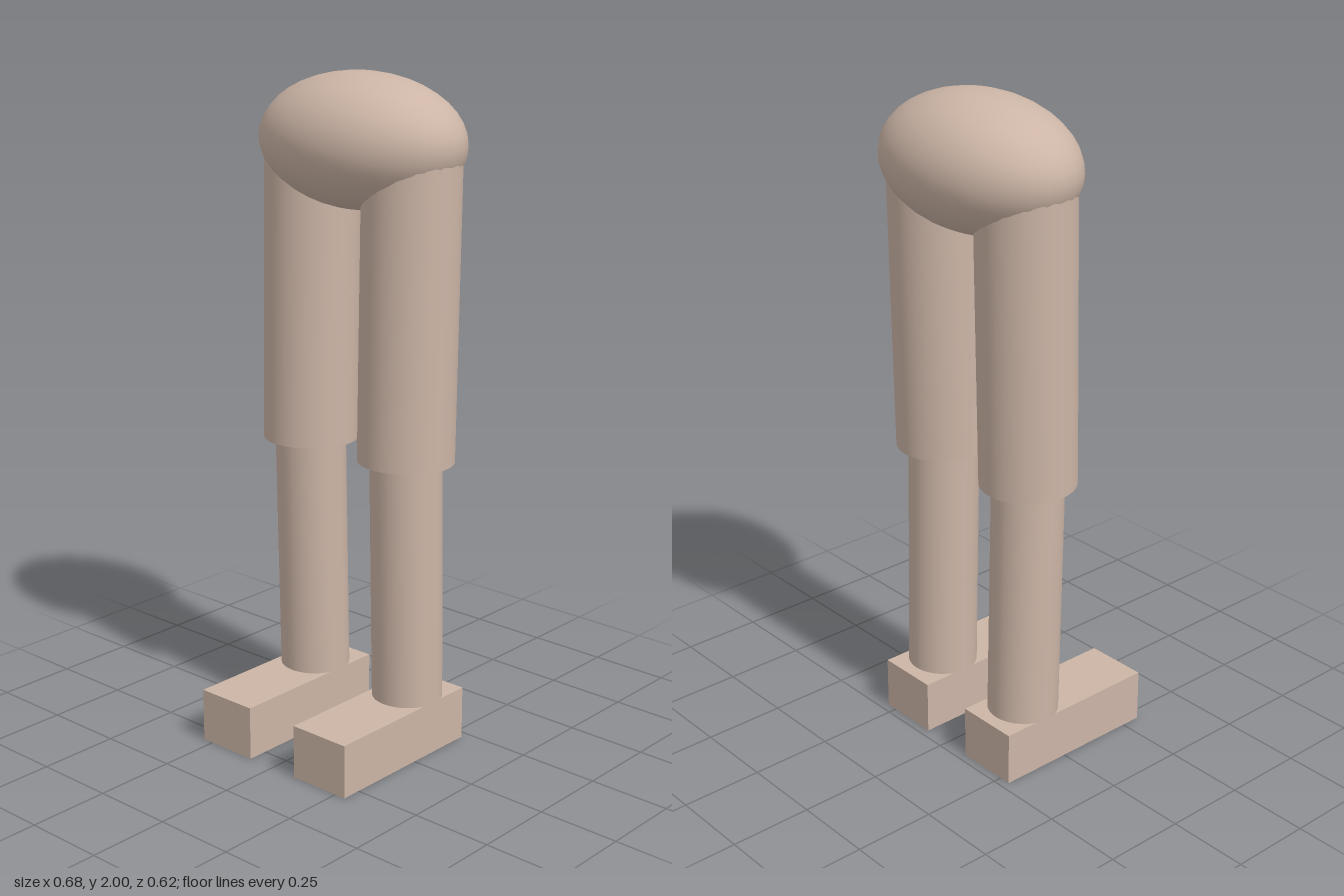
import * as THREE from 'three';

// Capped cylinder running between two points
function limb(name, from, to, radius, material) {
  const axis = to.clone().sub(from);
  const mesh = new THREE.Mesh(new THREE.CylinderGeometry(radius, radius, axis.length(), 32), material);
  mesh.position.copy(from).add(to).multiplyScalar(0.5);
  mesh.quaternion.setFromUnitVectors(new THREE.Vector3(0, 1, 0), axis.normalize());
  mesh.name = name;
  return mesh;
}

export function createModel() {
  const model = new THREE.Group();
  model.name = 'lowerBody';
  const skin = new THREE.MeshStandardMaterial({ color: 0xccb5a6 });
  skin.name = 'skin';

  // Pelvis: flattened ellipsoid
  const pelvis = new THREE.Mesh(new THREE.SphereGeometry(1, 32, 20), skin);
  pelvis.scale.set(0.339, 0.195, 0.231);
  pelvis.position.set(0, 1.805, -0.081);
  pelvis.name = 'pelvis';
  model.add(pelvis);

  // Legs, mirrored left and right, with slightly forward knees
  for (const [side, s] of [['left', 1], ['right', -1]]) {
    const x = 0.187 * s;
    const hip = new THREE.Vector3(x, 1.8, -0.081);
    const knee = new THREE.Vector3(x, 0.9, -0.065);
    const ankle = new THREE.Vector3(x, 0.163, -0.081);

    const leg = new THREE.Group();
    leg.name = side + 'Leg';
    leg.add(limb(side + 'Thigh', knee, hip, 0.142, skin));
    leg.add(limb(side + 'Shin', ankle, knee, 0.106, skin));

    const foot = new THREE.Mesh(new THREE.BoxGeometry(0.197, 0.163, 0.535), skin);
    foot.position.set(x, 0.0815, 0.0435);
    foot.name = side + 'Foot';
    leg.add(foot);
    model.add(leg);
  }
  return model;
}
